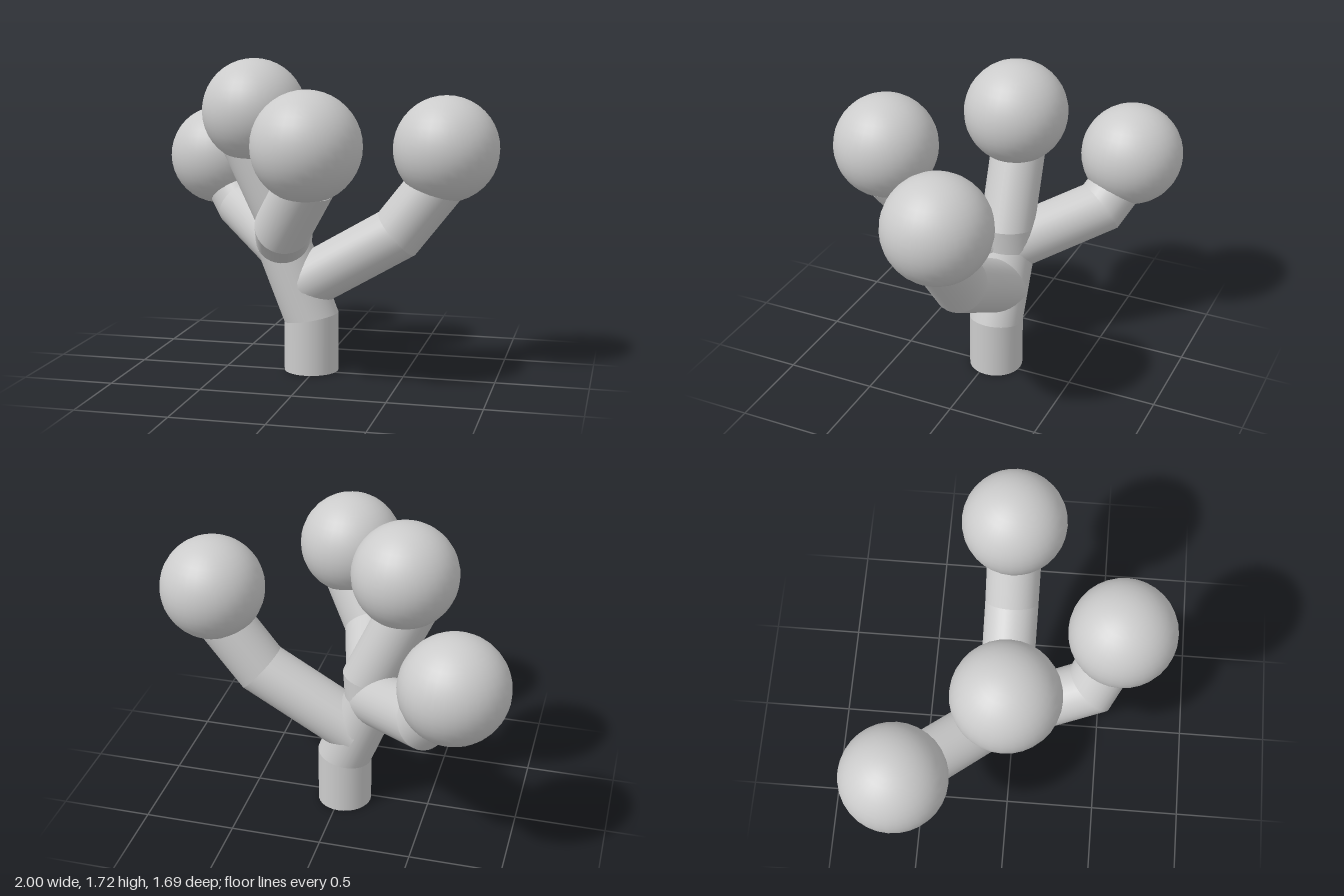
import * as THREE from 'three';

const V = (x, y, z) => new THREE.Vector3(x, y, z);
const LIMB_R = 0.15, BALL_R = 0.285, SIDES = 32;

// Round limb along straight pieces, mitred at each bend and closed at both ends
function limbGeometry(path) {
  const pos = [], nor = [], idx = [];
  const dirs = path.slice(1).map((p, i) => p.clone().sub(path[i]).normalize());
  const ref = Math.abs(dirs[0].z) > 0.8 ? V(1, 0, 0) : V(0, 0, 1);
  const u = ref.clone().addScaledVector(dirs[0], -ref.dot(dirs[0])).normalize();
  const w = dirs[0].clone().cross(u);
  let ring = [];
  for (let j = 0; j <= SIDES; j++) {
    const a = (j / SIDES) * Math.PI * 2;
    ring.push(path[0].clone().addScaledVector(u, LIMB_R * Math.cos(a)).addScaledVector(w, LIMB_R * Math.sin(a)));
  }
  const add = (p, n) => { pos.push(p.x, p.y, p.z); nor.push(n.x, n.y, n.z); };
  const cap = (centre, pts, n, flip) => {
    const c = pos.length / 3;
    add(centre, n);
    pts.forEach(p => add(p, n));
    for (let j = 1; j <= SIDES; j++) idx.push(c, ...(flip ? [c + j + 1, c + j] : [c + j, c + j + 1]));
  };
  cap(path[0], ring, dirs[0].clone().negate(), true);
  dirs.forEach((d, i) => {
    const end = path[i + 1];
    const plane = d.clone().add(dirs[i + 1] || d).normalize();
    // slide the section along the limb onto the mitre plane
    const next = ring.map(p => p.clone().addScaledVector(d, end.clone().sub(p).dot(plane) / d.dot(plane)));
    const b = pos.length / 3;
    ring.forEach((p, j) => {
      const r = p.clone().sub(path[i]);
      const n = r.addScaledVector(d, -r.dot(d)).normalize();
      add(p, n);
      add(next[j], n);
    });
    for (let j = 0; j < SIDES; j++) {
      const k = b + j * 2;
      idx.push(k, k + 2, k + 1, k + 1, k + 2, k + 3);
    }
    ring = next;
  });
  cap(path[path.length - 1], ring, dirs[dirs.length - 1], false);
  const g = new THREE.BufferGeometry();
  g.setAttribute('position', new THREE.Float32BufferAttribute(pos, 3));
  g.setAttribute('normal', new THREE.Float32BufferAttribute(nor, 3));
  g.setIndex(idx);
  return g;
}

export function createModel() {
  const group = new THREE.Group();
  const mat = new THREE.MeshStandardMaterial({ color: 0xcccccc });
  const lowFork = V(-0.1, 0.465, -0.045), highFork = V(-0.18, 0.69, -0.045);

  // Each limb: its path and the foliage ball at its tip
  const limbs = [
    ['trunk', [V(-0.025, 0, -0.04), V(-0.025, 0.3, -0.04), highFork, V(-0.17, 0.82, -0.04), V(-0.39, 1.3, -0.02)],
      'topFoliage', V(-0.34, 1.438, -0.012)],
    ['leftBranch', [lowFork, V(0.45, 0.785, -0.045), V(0.68, 1.08, -0.045)],
      'leftFoliage', V(0.712, 1.252, -0.05)],
    ['frontBranch', [V(-0.19, 0.73, -0.045), V(-0.06, 0.88, 0.42), V(0.1, 1.14, 0.54)],
      'frontFoliage', V(0.095, 1.312, 0.56)],
    ['backBranch', [highFork, V(-0.54, 0.85, -0.45), V(-0.69, 1.05, -0.56)],
      'backFoliage', V(-0.714, 1.127, -0.562)],
  ];
  const ball = new THREE.SphereGeometry(BALL_R, 32, 20);
  for (const [limbName, path, ballName, centre] of limbs) {
    const limb = new THREE.Mesh(limbGeometry(path), mat);
    limb.name = limbName;
    const foliage = new THREE.Mesh(ball, mat);
    foliage.name = ballName;
    foliage.position.copy(centre);
    group.add(limb, foliage);
  }
  return group;
}
